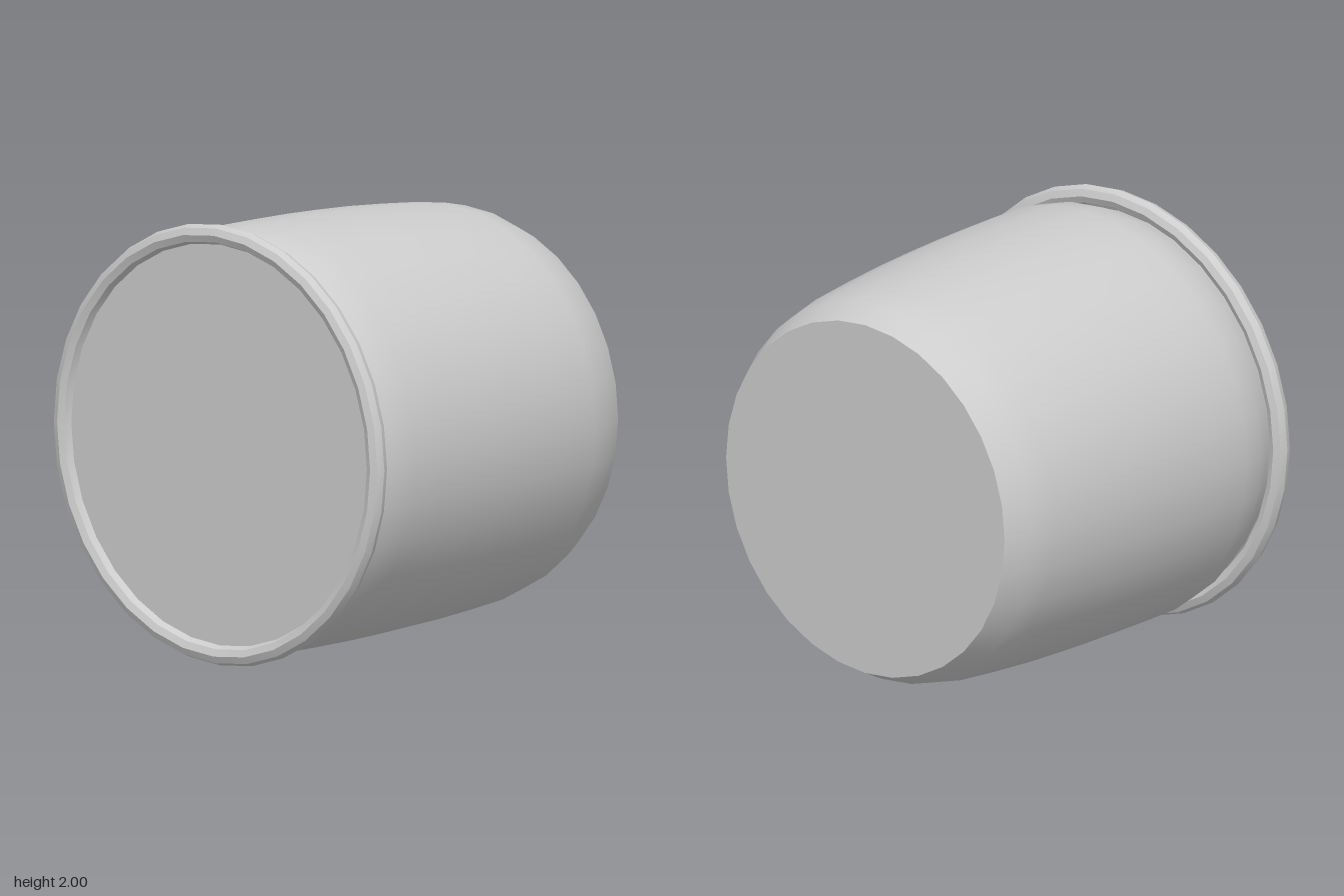
import * as THREE from 'three';
import { toCreasedNormals } from 'three/addons/utils/BufferGeometryUtils.js';

const SIDES = 32;

export function createModel() {
  const group = new THREE.Group();
  group.name = 'cup';
  const grey = new THREE.MeshStandardMaterial({ color: 0xcccccc });
  grey.name = 'light grey';

  const add = (name, geometry) => {
    const mesh = new THREE.Mesh(geometry, grey);
    mesh.name = name;
    mesh.position.y = 1;
    group.add(mesh);
  };

  // Turns a profile of [position along x, radius] about the x axis
  const turn = (profile) =>
    new THREE.LatheGeometry(profile.map(([x, r]) => new THREE.Vector2(r, x)), SIDES).rotateZ(-Math.PI / 2);

  // Flat end disc facing along +x or -x
  const disc = (x, radius, facing) =>
    new THREE.CircleGeometry(radius, SIDES).rotateY(facing * Math.PI / 2).translate(x, 0, 0);

  // Gently tapering wall, rounded in at both ends
  add('wall', turn([
    [-0.84, 0.9], [-0.8, 0.915], [-0.72, 0.95], [-0.6, 0.968], [-0.4, 0.968], [-0.2, 0.966],
    [0, 0.96], [0.2, 0.951], [0.42, 0.935], [0.64, 0.915], [0.77, 0.887], [0.885, 0.828],
  ]));

  // Closed ends
  add('base', disc(0.885, 0.828, 1));
  add('lid', disc(-0.84, 0.915, -1));

  // Rim with an eight-sided section
  const section = [];
  for (let i = 0; i <= 8; i++) {
    const a = (i / 8) * Math.PI * 2;
    section.push([-0.84 + 0.045 * Math.sin(a), 0.955 + 0.045 * Math.cos(a)]);
  }
  add('rim', toCreasedNormals(turn(section), Math.PI / 6));

  return group;
}
